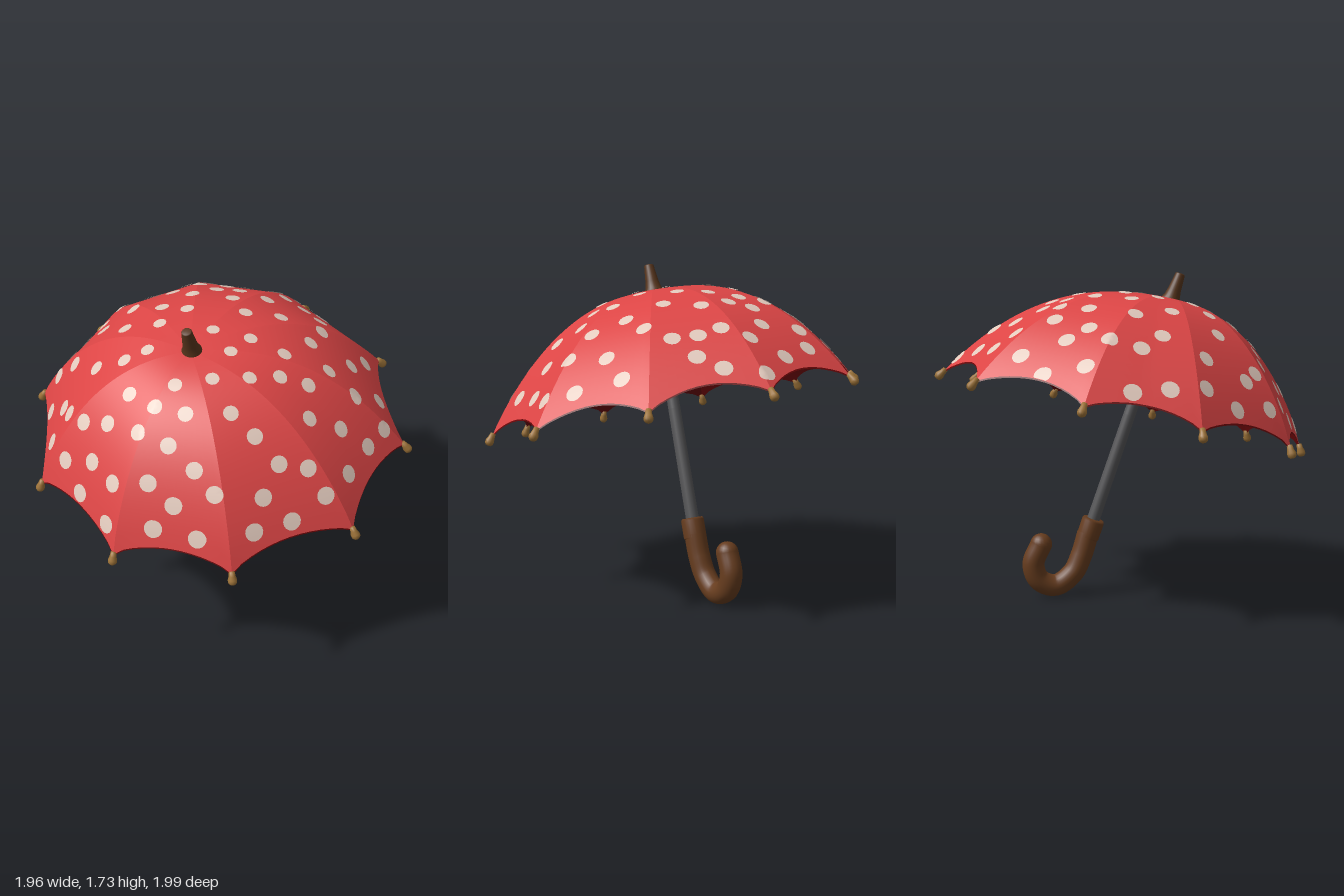
import * as THREE from 'three';

const mat = (name, color, side = THREE.FrontSide) =>
  Object.assign(new THREE.MeshStandardMaterial({ color, side }), { name });
const V = (x, y, z) => new THREE.Vector3(x, y, z);

// Canopy: ten rib ends (x, z) around an off-centre crown, on a tilted rim plane
const CROWN = [0, 0.26];
const RIM = [[-0.01, 0.96], [0.555, 0.775], [0.94, 0.265], [0.925, -0.33], [0.55, -0.79],
  [-0.01, -0.95], [-0.58, -0.77], [-0.94, -0.27], [-0.94, 0.28], [-0.585, 0.775]];
const N = RIM.length;
const HEIGHT = 0.642;
const LINING = -0.008;
const rib = k => [RIM[k % N][0] - CROWN[0], RIM[k % N][1] - CROWN[1]];
const frontness = k => Math.cos((k / N) * Math.PI * 2);
const edge = (k, u) => 1 - (0.043 - 0.015 * frontness(k + 0.5)) * Math.pow(Math.max(0, Math.sin(Math.PI * u)), 0.75);

// Point on panel k, u across the panel, s from crown to rim; the front is fuller
function canopyPoint(k, u, s) {
  const a = rib(k), b = rib(k + 1);
  const x = CROWN[0] + s * (a[0] + (b[0] - a[0]) * u);
  const z = CROWN[1] + s * (a[1] + (b[1] - a[1]) * u);
  const f = frontness(k + u);
  const dome = Math.pow(Math.max(0, 1 - Math.pow(s, 2.42 + 0.1 * f)), 1 - 0.2 * Math.max(0, f));
  return V(x, 1.01 - 0.225 * z - 0.078 * x + HEIGHT * dome, z);
}

// Panel coordinates below a plan position
function locate(x, z) {
  const dx = x - CROWN[0], dz = z - CROWN[1];
  for (let k = 0; k < N; k++) {
    const a = rib(k), b = rib(k + 1);
    const det = a[0] * b[1] - a[1] * b[0];
    const p = (dx * b[1] - dz * b[0]) / det, q = (a[0] * dz - a[1] * dx) / det;
    if (p >= -1e-9 && q >= -1e-9 && p + q > 1e-6) return { k, u: q / (p + q), s: p + q };
  }
  return { k: 0, u: 0, s: 0 };
}
function project(x, z) {
  const { k, u, s } = locate(x, z);
  return canopyPoint(k, u, Math.min(s, edge(k, u)));
}

function meshFrom(name, pos, idx, material) {
  const g = new THREE.BufferGeometry();
  g.setAttribute('position', new THREE.Float32BufferAttribute(pos, 3));
  g.setIndex(idx);
  g.computeVertexNormals();
  const m = new THREE.Mesh(g, material);
  m.name = name;
  return m;
}

// One gore of the canopy, or of the lining just below it
function panel(k, material, inside) {
  const U = 12, S = 28, pos = [], idx = [];
  for (let i = 0; i <= U; i++) for (let j = 0; j <= S; j++) {
    const p = canopyPoint(k, i / U, Math.max(0.002, (j / S) * edge(k, i / U)));
    pos.push(p.x, p.y + (inside ? LINING : 0), p.z);
  }
  for (let i = 0; i < U; i++) for (let j = 0; j < S; j++) {
    const a = i * (S + 1) + j, b = a + 1, d = a + S + 1, c = d + 1;
    if (inside) idx.push(a, c, b, a, d, c);
    else idx.push(a, b, c, a, c, d);
  }
  return meshFrom(inside ? 'canopyLining' : 'canopyPanel', pos, idx, material);
}

// Round spot draped over the canopy, on the outside (side 1) or lining (side -1)
function spot(x, z, material, side) {
  const e = 0.01, c = project(x, z);
  const n = project(x, z + e).sub(project(x, z - e))
    .cross(project(x + e, z).sub(project(x - e, z))).normalize();
  const t1 = V(1, 0, 0).addScaledVector(n, -n.x).normalize();
  const t2 = V(0, 0, 0).crossVectors(t1, n);
  const r = (0.03 + 0.017 * Math.min(1, locate(x, z).s)) * (side > 0 ? 1 : 0.85);
  const M = 16, pos = [], idx = [];
  const add = p => {
    p.addScaledVector(n, 0.005 * side);
    pos.push(p.x, p.y + (side < 0 ? LINING : 0), p.z);
  };
  add(c.clone());
  for (const f of [0.5, 1]) for (let i = 0; i < M; i++) {
    const a = (i / M) * Math.PI * 2;
    const q = c.clone().addScaledVector(t1, Math.cos(a) * r * f).addScaledVector(t2, Math.sin(a) * r * f);
    add(project(q.x, q.z));
  }
  for (let i = 0; i < M; i++) {
    const j = (i + 1) % M, a = 1 + i, b = 1 + j;
    idx.push(0, b, a, a, b, b + M, a, b + M, a + M);
  }
  // Face the spot away from the canopy on its own side
  const [p0, p1, p2] = [0, idx[1], idx[2]].map(i => V(...pos.slice(i * 3, i * 3 + 3)));
  if (p1.sub(p0).cross(p2.sub(p0)).dot(n) * side < 0) idx.reverse();
  return meshFrom(side > 0 ? 'spot' : 'liningSpot', pos, idx, material);
}

// Spots by plan position (x, z) and, on the steep front, by (x, y); in hundredths
const PLAN = [-3, -87, -20, -76, 15, -78, -38, -68, 24, -68, -18, -57, -40, -57, -5, -68, 6, -59, 18, -58,
  30, -54, -21, -43, -58, -55, 38, -40, 57, -38, 74, -38, 57, -55, -44, -38, -60, -33, -78, -25,
  -33, -35, -20, -31, -10, -38, 6, -39, 21, -27, 40, -24, 7, -15, 55, -16, 69, -19, 84, -24, -72, -45,
  -57, -22, -41, -21, -26, -17, -6, -24, -68, -13, -87, -4, -70, 2, -51, 1, -33, 1, -19, -1,
  20, 2, 37, -2, 53, 2, 72, 2, 83, -8, -84, 14, -62, 13, -43, 20, 83, 13, 61, 15, 42, 11, 17, 16, -25, 15, 2, 8];
const FRONT = [-22, 132, -37, 127, 13, 132, 28, 124, -16, 145, 0, 145, -25, 114, -9, 111, 9, 116, -43, 107,
  -58, 107, -73, 109, -29, 97, -8, 92, 16, 96, 37, 94, 23, 108, 40, 115, 59, 97,
  71, 98, 58, 111, -79, 120, -58, 121, -66, 133, -50, 124, -45, 143, -29, 152, 15, 144, 33, 144, 46, 135,
  59, 123, 70, 119, 80, 106, -3, 135, 4, 152, -20, 157, 18, 154, 32, 153];

function spotCentres() {
  const out = [];
  const add = (x, z) => {
    const p = project(x, z);
    if (out.every(o => o.distanceTo(p) > 0.09)) out.push(p);
  };
  for (let i = 0; i < FRONT.length; i += 2) {
    const x = FRONT[i] / 100, y = FRONT[i + 1] / 100;
    for (let z = 1; z > 0; z -= 0.002) {
      const { k, u, s } = locate(x, z);
      if (s < edge(k, u) - 0.02 && project(x, z).y >= y) { add(x, z); break; }
    }
  }
  for (let i = 0; i < PLAN.length; i += 2) add(PLAN[i] / 100, PLAN[i + 1] / 100);
  return out;
}

// Turned part: profile [radius, height] set along the line from a towards b
function turned(name, profile, a, b, material, sides = 24) {
  const m = new THREE.Mesh(new THREE.LatheGeometry(profile.map(p => new THREE.Vector2(...p)), sides), material);
  m.position.copy(a);
  m.quaternion.setFromUnitVectors(V(0, 1, 0), b.clone().sub(a).normalize());
  m.name = name;
  return m;
}

export function createModel() {
  const red = mat('canopyRed', 0xdc4545, THREE.DoubleSide), cream = mat('spotCream', 0xe2cabd, THREE.DoubleSide);
  const lining = mat('liningRed', 0x650507, THREE.DoubleSide), tan = mat('liningSpotTan', 0x704c22, THREE.DoubleSide);
  const wood = mat('handleWood', 0x663c1e), darkWood = mat('ferruleWood', 0x57351c);
  const steel = mat('shaftGrey', 0x555557), brass = mat('tipOchre', 0x9c7238);
  const model = new THREE.Group();
  model.name = 'umbrella';

  // Canopy, lining and rib tips
  const canopy = new THREE.Group();
  canopy.name = 'canopy';
  for (let k = 0; k < N; k++) {
    canopy.add(panel(k, red, false), panel(k, lining, true));
    const end = canopyPoint(k, 0, 1), dir = end.clone().sub(canopyPoint(k, 0, 0.95)).normalize();
    const start = end.clone().addScaledVector(dir, -0.016);
    canopy.add(turned('ribTip', [[0, 0], [0.014, 0.002], [0.017, 0.025], [0.023, 0.045], [0.022, 0.06], [0.013, 0.07], [0, 0.072]],
      start, end, brass, 12));
  }
  for (const c of spotCentres()) {
    canopy.add(spot(c.x, c.z, cream, 1));
    if (c.z > 0.05) canopy.add(spot(c.x, c.z, tan, -1));
  }
  model.add(canopy);

  // Shaft, collar and ferrule
  const foot = V(-0.015, 0.36, -0.185), top = V(0, 1.6, 0.245);
  const len = foot.distanceTo(top);
  model.add(turned('shaft', [[0, 0], [0.035, 0], [0.033, len * 0.5], [0.027, len], [0, len]], foot, top, steel));
  model.add(turned('collar', [[0, 0], [0.056, 0], [0.061, 0.01], [0.061, 0.1], [0.055, 0.112], [0, 0.112]],
    V(-0.015, 0.312, -0.2), top, wood));
  model.add(turned('ferrule', [[0, 0], [0.054, 0], [0.052, 0.018], [0.043, 0.035], [0.036, 0.07], [0.026, 0.158], [0.022, 0.163], [0, 0.163]],
    V(0.002, 1.577, 0.246), V(0.008, 1.727, 0.302), darkWood));

  // Hooked handle with rounded end
  const path = [[-0.015, 0.34, -0.195], [-0.022, 0.22, -0.232], [-0.033, 0.125, -0.28], [-0.045, 0.063, -0.375],
    [-0.06, 0.1, -0.463], [-0.067, 0.19, -0.492], [-0.067, 0.295, -0.45]].map(p => V(...p));
  const hook = new THREE.Mesh(new THREE.TubeGeometry(new THREE.CatmullRomCurve3(path), 48, 0.059, 20), wood);
  hook.name = 'handle';
  const cap = new THREE.Mesh(new THREE.SphereGeometry(0.059, 20, 14), wood);
  cap.position.copy(path[path.length - 1]);
  cap.name = 'handleEnd';
  model.add(hook, cap);
  return model;
}
